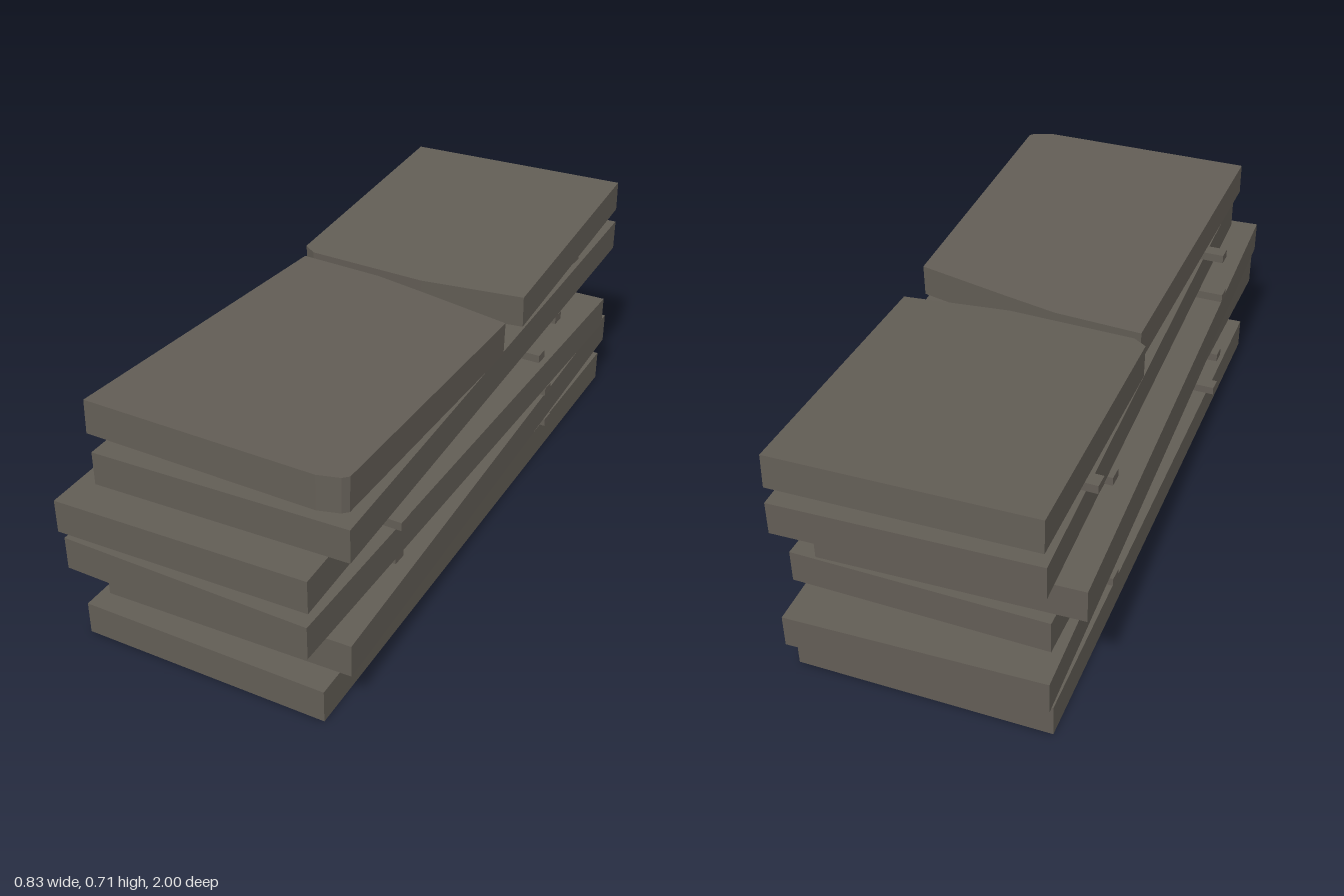
import * as THREE from 'three';

const W = 0.71, L = 1.887, H = 0.094, GAP = 0.025;

export function createModel() {
  const model = new THREE.Group();
  model.name = 'slabStack';
  const concrete = new THREE.MeshStandardMaterial({ color: 0x625d55 });
  concrete.name = 'weathered concrete';

  const add = (name, geometry, x, y, z, yaw = 0) => {
    const mesh = new THREE.Mesh(geometry, concrete);
    mesh.name = name;
    mesh.position.set(x, y, z);
    mesh.rotation.y = yaw;
    model.add(mesh);
    return mesh;
  };

  // Whole slabs: x, z, yaw, from the ground up
  const slabs = [
    [0.004, 0.002, 0],
    [0.025, -0.045, 0.0265],
    [0.01, 0.05, -0.016],
    [-0.0365, 0.047, 0.0265],
    [0.035, -0.03, 0.0255],
  ];
  const slabGeometry = new THREE.BoxGeometry(W, H, L);
  slabs.forEach(([x, z, yaw], i) =>
    add(`slab${i + 1}`, slabGeometry, x, i * (H + GAP) + H / 2, z, yaw));

  // Pairs of spacer battens above each slab: front x, front z, rear x, rear z
  const battens = [
    [-0.011, 0.513, 0.011, -0.45],
    [-0.011, 0.528, 0.011, -0.435],
    [0.01, 0.538, -0.01, -0.418],
    [-0.018, 0.5, 0.016, -0.465],
    [-0.005, 0.53, -0.005, -0.648],
  ];
  const battenGeometry = new THREE.BoxGeometry(0.728, GAP, 0.042);
  battens.forEach(([fx, fz, rx, rz], i) => {
    const y = (i + 1) * (H + GAP) - GAP / 2;
    add(`frontBatten${i + 1}`, battenGeometry, fx, y, fz, -0.022);
    add(`rearBatten${i + 1}`, battenGeometry, rx, y, rz, -0.022);
  });

  // Broken top slab: two outlines in x, z, each sagging towards the break
  const brokenHalf = (name, outline, y, tilt) => {
    const shape = new THREE.Shape(outline.map(([x, z]) => new THREE.Vector2(x, -z)));
    const geometry = new THREE.ExtrudeGeometry(shape, { depth: H, bevelEnabled: false });
    geometry.rotateX(-Math.PI / 2);
    add(name, geometry, 0, y, 0).rotation.x = tilt;
  };
  brokenHalf('frontBrokenHalf', [
    [-0.318, 0.907], [0.335, 0.922], [0.392, 0.905], [0.406, 0.89], [0.4, 0.015],
    [0.12, -0.05], [-0.04, -0.085], [-0.295, -0.103],
  ], 0.576, -0.037);
  brokenHalf('rearBrokenHalf', [
    [-0.34, -0.97], [-0.325, -0.17], [-0.285, -0.142], [0.08, -0.125],
    [0.383, -0.16], [0.365, -0.98],
  ], 0.566, 0.05);

  return model;
}
